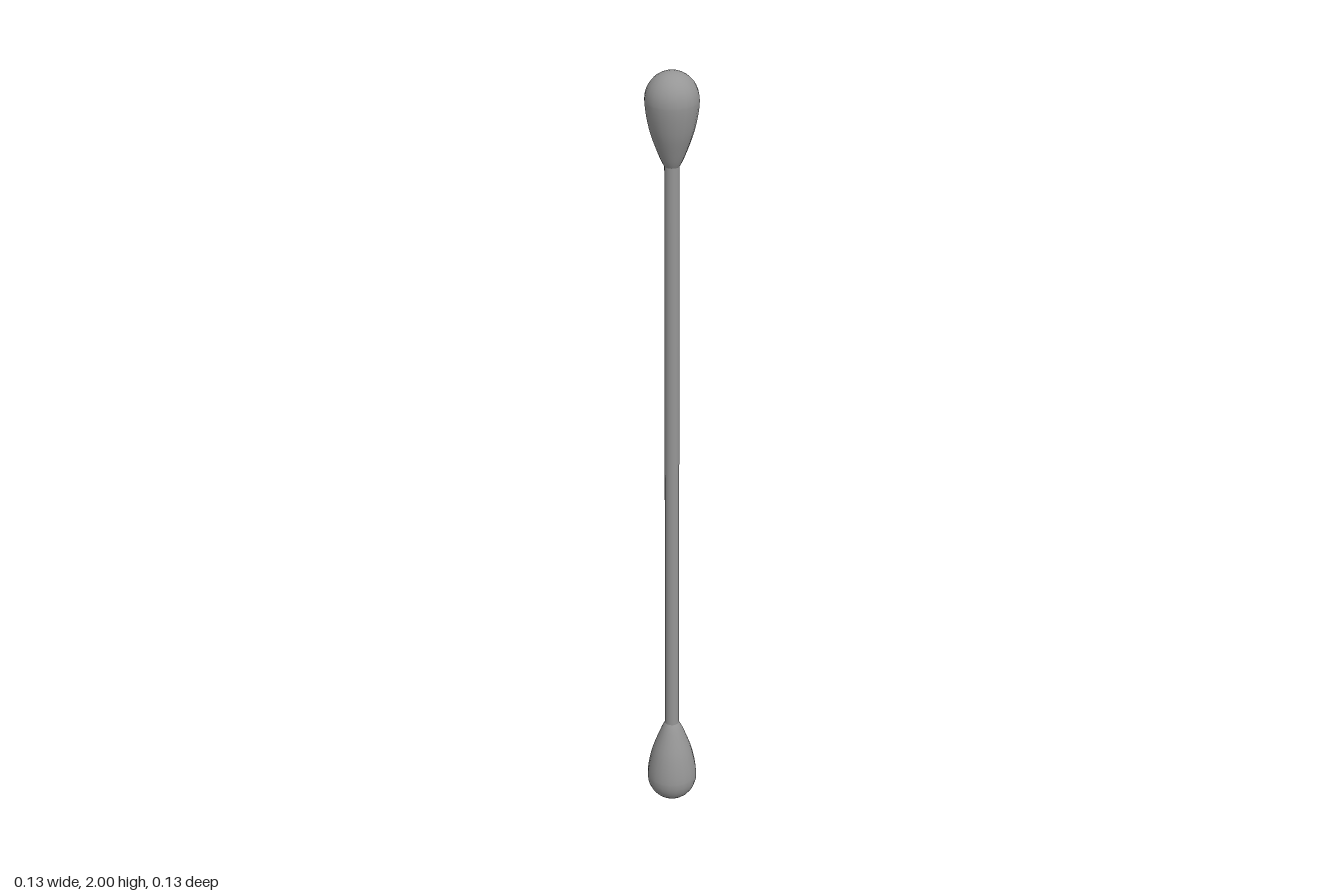
import * as THREE from 'three';

const STICK_RADIUS = 0.018;
const SIDES = 20;

export function createModel() {
  const model = new THREE.Group();
  model.name = 'cottonSwab';
  const material = new THREE.MeshStandardMaterial({ color: 0x969696 });

  // Straight round stick, its ends hidden inside the tips
  const stick = new THREE.Mesh(
    new THREE.CylinderGeometry(STICK_RADIUS, STICK_RADIUS, 1.8, SIDES),
    material
  );
  stick.name = 'stick';
  stick.position.y = 1;
  model.add(stick);

  // Teardrop cotton bud: narrow neck swelling to a rounded dome (y from the model's middle)
  const neck = new THREE.SplineCurve([
    [STICK_RADIUS - 0.001, 0.768], [0.026, 0.785], [0.039, 0.818],
    [0.051, 0.853], [0.059, 0.888], [0.063, 0.915], [0.064, 0.932],
  ].map(([r, y]) => new THREE.Vector2(r, y))).getPoints(16);
  const dome = new THREE.EllipseCurve(0, 0.932, 0.064, 0.068, 0, Math.PI / 2)
    .getPoints(10).slice(1);
  dome[dome.length - 1].x = 0;
  const tipGeometry = new THREE.LatheGeometry([...neck, ...dome], SIDES);

  // The same bud at both ends, the lower one turned over
  for (const [name, turn] of [['upperTip', 0], ['lowerTip', Math.PI]]) {
    const tip = new THREE.Mesh(tipGeometry, material);
    tip.name = name;
    tip.position.y = 1;
    tip.rotation.x = turn;
    model.add(tip);
  }

  return model;
}
